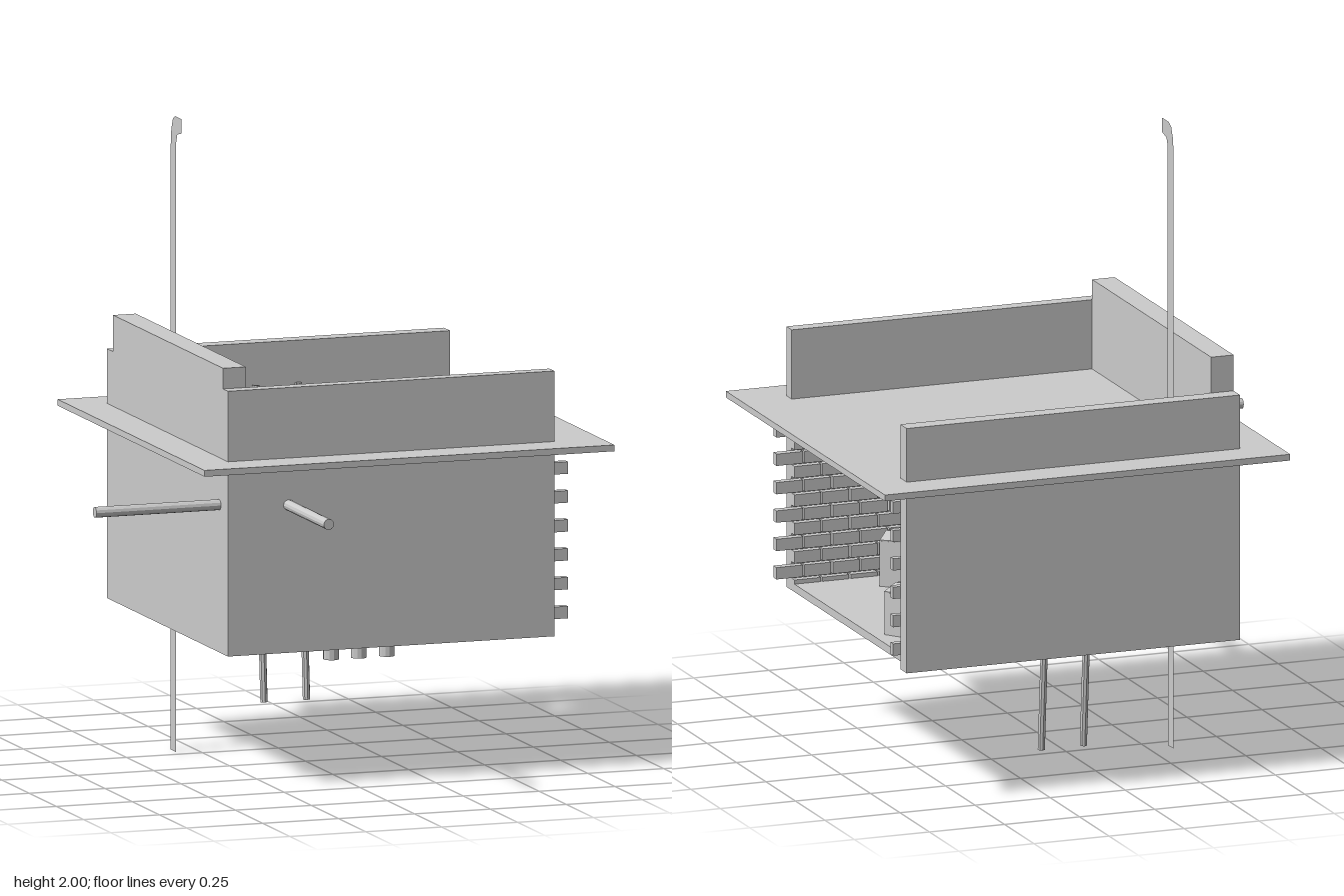
import * as THREE from 'three';
import { mergeGeometries } from 'three/addons/utils/BufferGeometryUtils.js';

const mat = new THREE.MeshStandardMaterial({ color: 0xcccccc, flatShading: true });
const matDouble = new THREE.MeshStandardMaterial({ color: 0xcccccc, flatShading: true, side: THREE.DoubleSide });
const V = (x, y, z) => new THREE.Vector3(x, y, z);

export function createModel() {
  const root = new THREE.Group();

  const add = (name, geo, parent = root, m = mat) => {
    const mesh = new THREE.Mesh(geo, m);
    mesh.name = name;
    parent.add(mesh);
    return mesh;
  };
  // Box from its low and high corners
  const boxGeo = (x0, x1, y0, y1, z0, z1) =>
    new THREE.BoxGeometry(x1 - x0, y1 - y0, z1 - z0).translate((x0 + x1) / 2, (y0 + y1) / 2, (z0 + z1) / 2);
  const box = (name, ...c) => add(name, boxGeo(...c));
  // Closed cylinder between two points
  const rodGeo = (a, b, r, sides = 10) => {
    const d = b.clone().sub(a);
    const g = new THREE.CylinderGeometry(r, r, d.length(), sides);
    g.applyQuaternion(new THREE.Quaternion().setFromUnitVectors(V(0, 1, 0), d.normalize()));
    const c = a.clone().add(b).multiplyScalar(0.5);
    return g.translate(c.x, c.y, c.z);
  };
  const rod = (name, a, b, r, sides, parent) => add(name, rodGeo(a, b, r, sides), parent);

  // Floor and the three walls, which rise past the roof as parapets
  box('floor', -0.4, 0.665, 0.425, 0.45, -0.65, 0.41);
  box('frontWall', -0.41, 0.665, 0.425, 1.26, 0.385, 0.43);
  box('backWall', -0.41, 0.70, 0.425, 1.21, -0.68, -0.625);
  box('sideWall', -0.41, -0.335, 0.425, 1.325, -0.625, 0.385);

  // Roof slab with a hatch opening
  const rect = (S, x0, x1, z0, z1) => {
    const s = new S();
    s.moveTo(x0, -z1).lineTo(x1, -z1).lineTo(x1, -z0).lineTo(x0, -z0).closePath();
    return s;
  };
  const slabGeo = (outer, inner, y0, y1) => {
    const s = rect(THREE.Shape, ...outer);
    s.holes.push(rect(THREE.Path, ...inner));
    return new THREE.ExtrudeGeometry(s, { depth: y1 - y0, bevelEnabled: false }).rotateX(-Math.PI / 2).translate(0, y0, 0);
  };
  const hatch = [0.05, 0.295, -0.607, -0.43];
  add('roofSlab', slabGeo([-0.53, 0.82, -0.80, 0.55], hatch, 1.018, 1.038));
  add('hatchRim', slabGeo([0.044, 0.301, -0.613, -0.424], hatch, 1.02, 1.045));

  // Running-bond brick lining; odd rows are shifted by half a brick
  const brickLining = (name, start, end, toothed, place) => {
    const parts = [], L = 0.094, gap = 0.006;
    for (let row = 0; row < 13; row++) {
      const y = 0.4435 + row * 0.0455;
      const stop = toothed && row % 2 === 0 ? end - 0.06 : end;
      for (let b = stop; b > start + 0.01; b -= L) {
        let hi = b;
        if (!toothed && row % 2) hi = Math.min(end, b + L / 2);
        const lo = Math.max(start, (hi === end && !toothed && row % 2 ? b - L / 2 : hi - L) + gap);
        if (!toothed && row % 2) b = lo - gap + L;
        if (hi - lo > 0.01) parts.push(place(lo, hi, y - 0.018, y + 0.02));
      }
    }
    add(name, mergeGeometries(parts));
  };
  brickLining('frontBricks', -0.315, 0.725, true, (a, b, y0, y1) => boxGeo(a, b, y0, y1, 0.362, 0.388));
  brickLining('backBricks', -0.315, 0.725, true, (a, b, y0, y1) => boxGeo(a, b, y0, y1, -0.628, -0.605));
  brickLining('sideBricks', -0.605, 0.362, false, (a, b, y0, y1) => boxGeo(-0.338, -0.315, y0, y1, a, b));

  // Ladder leaning through the hatch and down below the floor
  const ladder = new THREE.Group();
  ladder.name = 'ladder';
  root.add(ladder);
  const ladderAt = (x, t) => V(x, 0.095 + t * 0.985, -0.53 - t * 0.075);
  for (const x of [0.053, 0.193]) rod('ladderRail', ladderAt(x, 0), ladderAt(x, 1), 0.012, 8, ladder);
  for (let i = 0; i < 9; i++) {
    const t = 0.42 + i * 0.062;
    rod('ladderRung', ladderAt(0.053, t), ladderAt(0.193, t), 0.008, 8, ladder);
  }

  // Main pipe: out through the front wall, along the room, up through the roof
  const px = -0.21, py = 0.89, pz = 0.35;
  rod('mainPipe', V(px, py, 0.80), V(px, py, -0.53), 0.017, 12);
  const bend = new THREE.QuadraticBezierCurve3(V(px, py, -0.53), V(px, py, -0.59), V(px, py + 0.06, -0.59));
  add('pipeBend', new THREE.TubeGeometry(bend, 8, 0.017, 12));
  rod('roofPipe', V(px, py + 0.06, -0.59), V(px, 1.075, -0.59), 0.017, 12);
  rod('sidePipe', V(-0.82, py, pz), V(px, py, pz), 0.017, 12);
  rod('dropPipe', V(px, py, pz - 0.01), V(px, 0.60, pz - 0.01), 0.015, 12);
  rod('dropPipeFoot', V(px, 0.61, pz - 0.01), V(0.0, 0.61, 0.285), 0.013, 10);
  for (const z of [0.30, 0.01, -0.345]) rod('pipeCollar', V(px, py, z - 0.012), V(px, py, z + 0.012), 0.024, 12);
  rod('pipeTee', V(px, py, pz + 0.025), V(px, py, pz - 0.07), 0.023, 12);

  // Three outlet stubs under the floor
  for (const x of [-0.018, 0.073, 0.165]) rod('floorOutlet', V(x, 0.37, 0.285), V(x, 0.47, 0.285), 0.025, 12);

  // Flat vent mast with a hooked head
  const mast = new THREE.Shape();
  mast.moveTo(-0.341, 0).lineTo(-0.341, 1.90).lineTo(-0.335, 1.955).lineTo(-0.32, 1.99).lineTo(-0.30, 2.0)
    .lineTo(-0.24, 2.0).lineTo(-0.24, 1.955).lineTo(-0.28, 1.945).lineTo(-0.29, 1.92).lineTo(-0.291, 0).closePath();
  add('ventMast', new THREE.ShapeGeometry(mast).rotateY(-Math.PI / 2).translate(-0.322, 0, 0), root, matDouble);

  // Cartons with tilted flaps
  const carton = (x, z, angle, size, h) => {
    const g = new THREE.Group();
    g.name = 'carton';
    g.position.set(x, 0.45, z);
    g.rotation.y = angle;
    root.add(g);
    add('cartonBody', new THREE.BoxGeometry(size, h, size).translate(0, h / 2, 0), g);
    for (const s of [-1, 1]) {
      const flap = add('cartonFlap', new THREE.BoxGeometry(size / 2, 0.004, size).translate(-s * size / 4, 0, 0), g);
      flap.position.set(s * size / 2, h + 0.002, 0);
      flap.rotation.z = -s * 0.2;
    }
  };
  carton(0.53, -0.32, 0.64, 0.14, 0.135);
  carton(0.33, 0.253, 0.9, 0.14, 0.145);

  // Ribbed drum lying along z
  const drumPts = [[0, -0.11], [0.05, -0.11], [0.062, -0.09]];
  for (let i = -2; i <= 2; i++) drumPts.push([0.062, i * 0.035 - 0.01], [0.068, i * 0.035 - 0.005], [0.068, i * 0.035 + 0.005], [0.062, i * 0.035 + 0.01]);
  drumPts.push([0.062, 0.09], [0.05, 0.11], [0, 0.11]);
  const drum = new THREE.LatheGeometry(drumPts.map(p => new THREE.Vector2(...p)), 16).rotateX(Math.PI / 2);
  add('drum', drum).position.set(0.2, 0.518, 0.055);

  // Finned heater
  box('heaterBody', -0.06, 0.04, 0.45, 0.63, -0.10, 0.04);
  for (let i = 0; i < 6; i++) box('heaterFin', -0.07, 0.06, 0.46, 0.65, -0.112 + i * 0.03, -0.10 + i * 0.03);

  // Generator inside a tube frame
  box('generatorBody', 0.08, 0.28, 0.47, 0.60, -0.41, -0.215);
  const r = 0.04, z0 = -0.435, z1 = -0.19, y0 = 0.46, y1 = 0.637;
  for (const x of [0.07, 0.29]) {
    const loop = new THREE.CurvePath();
    const c = [[z0, y0], [z1, y0], [z1, y1], [z0, y1]].map(([z, y]) => V(x, y, z));
    c.forEach((p, i) => {
      const prev = c[(i + 3) % 4], next = c[(i + 1) % 4];
      const off = q => p.clone().add(q.clone().sub(p).setLength(r));
      loop.add(new THREE.QuadraticBezierCurve3(off(prev), p, off(next)));
      loop.add(new THREE.LineCurve3(off(next), next.clone().add(p.clone().sub(next).setLength(r))));
    });
    add('generatorFrame', new THREE.TubeGeometry(loop, 48, 0.009, 8, true));
  }
  for (const z of [z0 + r, z1 - r]) for (const y of [y0, y1]) rod('frameBar', V(0.07, y, z), V(0.29, y, z), 0.008, 8);

  return root;
}
